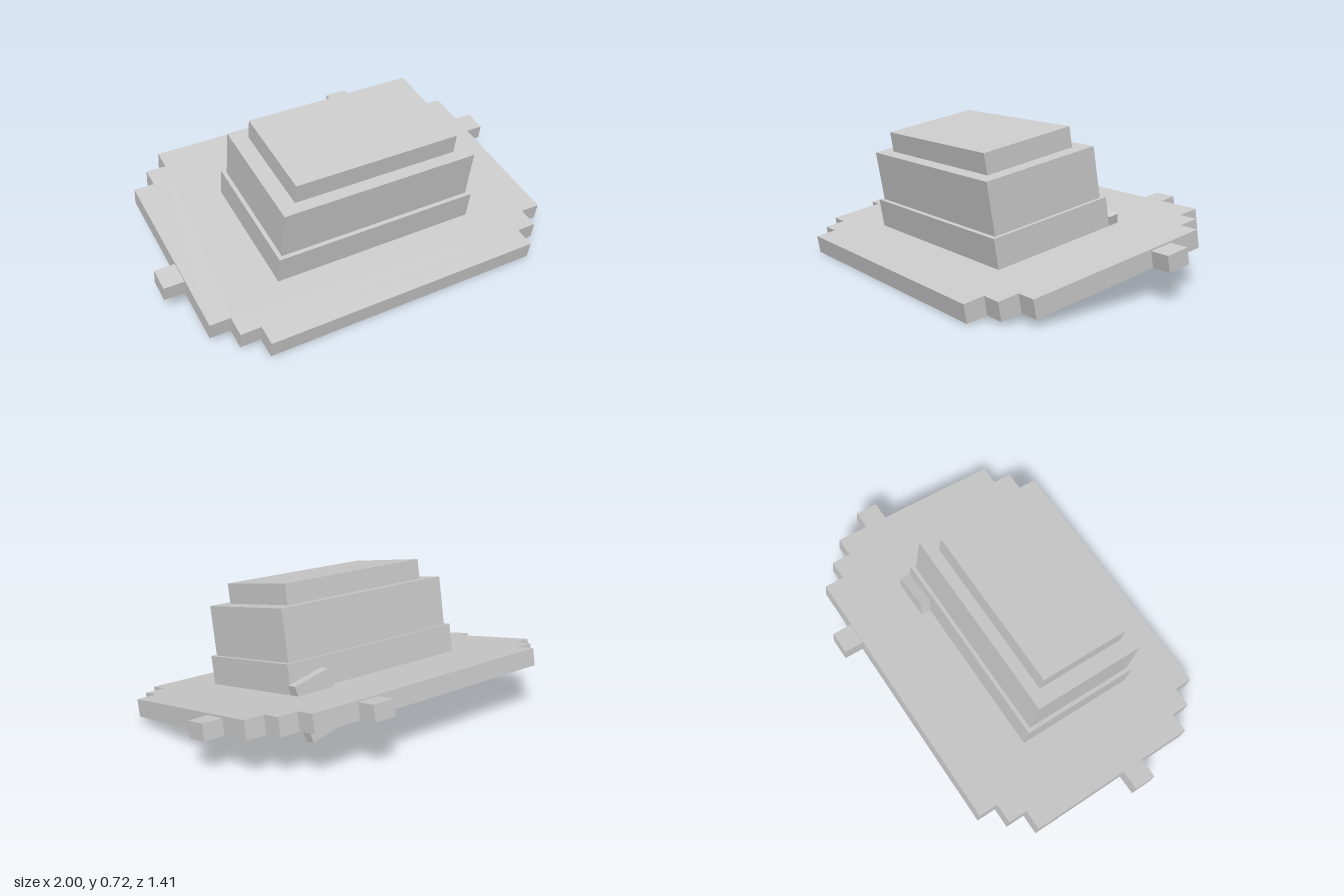
import * as THREE from 'three';

export function createModel() {
  const model = new THREE.Group();
  model.name = 'hat';
  const grey = new THREE.MeshStandardMaterial({ color: 0xcccccc });
  grey.name = 'plain grey';

  // The whole hat tips forward by ten degrees
  const hat = new THREE.Group();
  hat.name = 'tiltedHat';
  hat.rotation.x = THREE.MathUtils.degToRad(10);
  model.add(hat);

  // Box given by its extents along each axis
  function box(name, [x0, x1], [y0, y1], [z0, z1]) {
    const mesh = new THREE.Mesh(new THREE.BoxGeometry(x1 - x0, y1 - y0, z1 - z0), grey);
    mesh.position.set((x0 + x1) / 2, (y0 + y1) / 2, (z0 + z1) / 2);
    mesh.name = name;
    hat.add(mesh);
    return mesh;
  }

  // Brim: stepped corners, extruded upwards
  const half = [[0.7, 0.68], [0.7, 0.58], [0.8, 0.58], [0.8, 0.479], [0.9, 0.479],
    [0.9, -0.44], [0.8, -0.44], [0.8, -0.539], [0.7, -0.539], [0.7, -0.639]];
  const outline = [...half, ...half.map(([x, z]) => [-x, z]).reverse()];
  const shape = new THREE.Shape(outline.map(([x, z]) => new THREE.Vector2(x, -z)));
  const brimGeometry = new THREE.ExtrudeGeometry(shape, { depth: 0.087, bevelEnabled: false });
  brimGeometry.rotateX(-Math.PI / 2);
  const brim = new THREE.Mesh(brimGeometry, grey);
  brim.position.y = 0.122;
  brim.name = 'brim';
  hat.add(brim);

  // Ragged nubs on the brim edge
  const nubY = [0.123, 0.2];
  box('leftNub', [0.9, 1], nubY, [-0.275, -0.159]);
  box('rightNub', [-1, -0.9], nubY, [0.081, 0.198]);
  box('backNub', [0.34, 0.455], nubY, [-0.738, -0.639]);

  // Crown: band and two narrowing tiers
  box('hatBand', [-0.52, 0.52], [0.2, 0.351], [-0.2555, 0.38]);
  box('crown', [-0.5, 0.5], [0.351, 0.599], [-0.236, 0.36]);
  box('crownTop', [-0.42, 0.42], [0.599, 0.699], [-0.175, 0.301]);

  // Tag tucked behind the band and through the brim
  const tag = box('tag', [0.301, 0.501], [0.001, 0.281], [-0.307, -0.254]);
  tag.rotation.z = THREE.MathUtils.degToRad(-13);

  return model;
}
